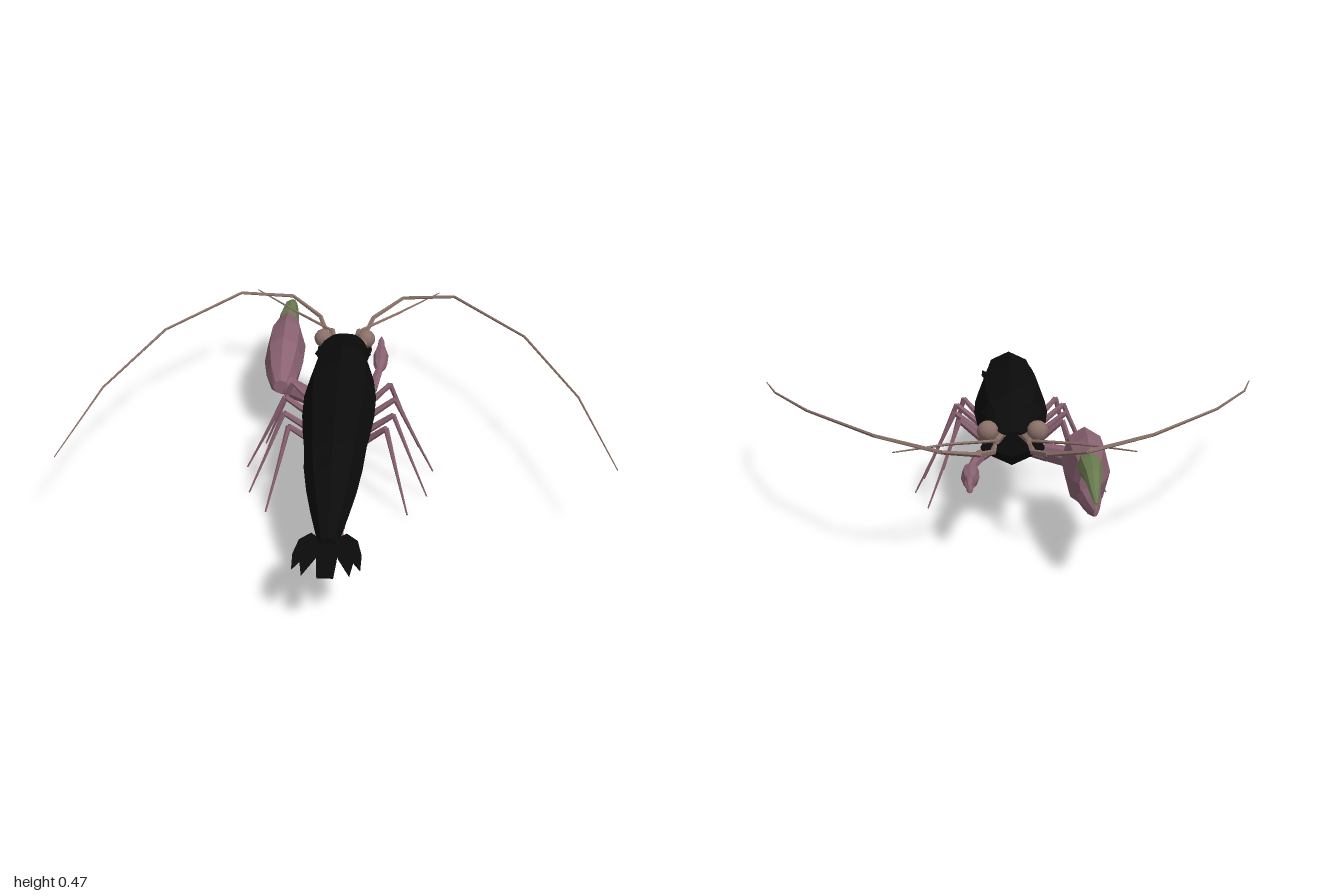
import * as THREE from 'three';

const mat = (name, color) => Object.assign(new THREE.MeshStandardMaterial({ color }), { name });

// Faceted normals for every part
function facet(geometry) {
  const g = geometry.index ? geometry.toNonIndexed() : geometry;
  g.computeVertexNormals();
  return g;
}

// Skin over elliptical rings [x, y, z, radiusX, radiusY], closed at both ends
function loft(rings, sides = 8) {
  const list = rings[0][2] > rings[rings.length - 1][2] ? [...rings].reverse() : rings;
  const pos = [], idx = [];
  for (const [x, y, z, rx, ry] of list) {
    for (let j = 0; j < sides; j++) {
      const a = (j / sides) * Math.PI * 2;
      pos.push(x + rx * Math.cos(a), y + ry * Math.sin(a), z);
    }
  }
  for (let i = 0; i < list.length - 1; i++) {
    for (let j = 0; j < sides; j++) {
      const k = (j + 1) % sides;
      const a = i * sides + j, b = i * sides + k;
      idx.push(a, b, b + sides, a, b + sides, a + sides);
    }
  }
  const last = (list.length - 1) * sides;
  for (let j = 1; j < sides - 1; j++) {
    idx.push(0, j + 1, j, last, last + j, last + j + 1);
  }
  const g = new THREE.BufferGeometry();
  g.setAttribute('position', new THREE.Float32BufferAttribute(pos, 3));
  g.setIndex(idx);
  return facet(g);
}

export function createModel() {
  const model = new THREE.Group();
  model.name = 'shrimp';
  const shell = mat('black shell', 0x0b0b0b);
  const pink = mat('dusky pink', 0x8a6272);
  const green = mat('olive green', 0x687a4e);
  const brown = mat('brown', 0x8a7068);

  const add = (name, geometry, material, parent = model) => {
    const mesh = new THREE.Mesh(geometry, material);
    mesh.name = name;
    parent.add(mesh);
    return mesh;
  };

  // Chain of tapered rods through points [x, y, z, radius]
  function limb(name, points, material, sides = 6) {
    const group = new THREE.Group();
    group.name = name;
    for (let i = 0; i < points.length - 1; i++) {
      const a = new THREE.Vector3(...points[i]), b = new THREE.Vector3(...points[i + 1]);
      const dir = b.clone().sub(a);
      const g = new THREE.CylinderGeometry(points[i + 1][3], points[i][3], dir.length(), sides);
      const rod = add(name + 'Segment', facet(g), material, group);
      rod.position.copy(a).add(b).multiplyScalar(0.5);
      rod.quaternion.setFromUnitVectors(new THREE.Vector3(0, 1, 0), dir.normalize());
    }
    model.add(group);
  }

  // Body: z, bottom, top, half width
  const body = [
    [-0.37, 0.23, 0.37, 0.08], [-0.33, 0.19, 0.415, 0.1], [-0.2, 0.157, 0.453, 0.122],
    [-0.05, 0.157, 0.465, 0.134], [0.1, 0.168, 0.46, 0.131], [0.22, 0.185, 0.45, 0.121],
    [0.32, 0.195, 0.44, 0.11], [0.47, 0.2, 0.428, 0.1], [0.58, 0.2, 0.395, 0.085],
    [0.68, 0.2, 0.355, 0.065], [0.76, 0.2, 0.318, 0.046], [0.8, 0.207, 0.298, 0.036], [0.82, 0.222, 0.275, 0.028],
  ];
  add('body', loft(body.map(([z, lo, hi, w]) => [0, (lo + hi) / 2, z, w, (hi - lo) / 2])), shell);
  add('headHood', loft([
    [0, 0.37, -0.29, 0.108, 0.06], [0, 0.37, -0.4, 0.078, 0.026],
    [0, 0.358, -0.46, 0.062, 0.016], [0, 0.35, -0.5, 0.04, 0.006],
  ]), shell);

  // Tail fan: flat blades, outlines as [x, z]
  function blade(name, outline, y) {
    const shape = new THREE.Shape(outline.map(([x, z]) => new THREE.Vector2(x, z)));
    const g = new THREE.ExtrudeGeometry(shape, { depth: 0.006, bevelEnabled: false });
    g.rotateX(Math.PI / 2);
    g.translate(0, y, 0);
    add(name, facet(g), shell);
  }
  blade('tailCentre', [[-0.03, 0.78], [0.03, 0.78], [0.034, 0.88], [0.026, 1], [-0.026, 1], [-0.034, 0.88]], 0.25);

  for (const s of [-1, 1]) {
    const side = s > 0 ? 'left' : 'right';
    const m = (pts) => pts.map(([x, ...rest]) => [s * x, ...rest]);

    blade(side + 'InnerTailBlade', m([[0.015, 0.78], [0.05, 0.79], [0.085, 0.91], [0.075, 0.985], [0.035, 0.89]]), 0.247);
    blade(side + 'OuterTailBlade', m([[0.02, 0.79], [0.058, 0.75], [0.095, 0.79], [0.11, 0.87], [0.108, 0.95], [0.075, 0.89]]), 0.244);

    // Eye on its stalk
    const eye = add(side + 'Eye', new THREE.SphereGeometry(0.037, 12, 8), brown);
    eye.position.set(s * 0.084, 0.35, -0.468);
    limb(side + 'EyeStalk', m([[0.04, 0.335, -0.37, 0.02], [0.08, 0.348, -0.46, 0.022]]), brown);

    // Feelers
    limb(side + 'LongAntenna', m([
      [0.06, 0.285, -0.36, 0.011], [0.065, 0.3, -0.55, 0.01], [0.11, 0.335, -0.7, 0.009],
      [0.23, 0.375, -0.81, 0.007], [0.44, 0.412, -0.75, 0.006], [0.7, 0.408, -0.4, 0.005],
      [0.87, 0.37, 0.02, 0.004], [0.965, 0.313, 0.43, 0.002],
    ]), brown, 5);
    limb(side + 'ShortAntenna', m([
      [0.03, 0.32, -0.36, 0.016], [0.055, 0.34, -0.56, 0.012], [0.06, 0.342, -0.56, 0.006],
      [0.21, 0.365, -0.68, 0.005], [0.38, 0.385, -0.845, 0.002],
    ]), brown, 5);
    blade(side + 'AntennaScale', m([[0.05, -0.36], [0.09, -0.37], [0.108, -0.48], [0.098, -0.54], [0.065, -0.47]]), 0.3);

    // Walking legs: hip z, knee x, knee z, foot x, foot z
    for (const [hz, kx, kz, fx, fz] of [
      [-0.14, 0.185, -0.165, 0.3, -0.23], [-0.05, 0.205, -0.05, 0.355, -0.047],
      [0.05, 0.2, 0.072, 0.33, 0.133], [0.12, 0.175, 0.17, 0.258, 0.263],
    ]) {
      limb(side + 'Leg', m([
        [0.08, 0.21, hz, 0.014], [kx, 0.308, kz, 0.01], [(kx + fx) / 2, 0.15, (kz + fz) / 2, 0.006], [fx, 0, fz, 0.003],
      ]), pink);
    }

    // Swimming legs under the tail
    for (let i = 0; i < 5; i++) {
      const z = 0.265 + i * 0.107, x = 0.052 - i * 0.005;
      limb(side + 'Swimmeret', m([[x, 0.225, z - 0.003, 0.017], [x, 0.155, z + 0.003, 0.01]]), pink);
    }
  }

  // Large right claw
  limb('largeArm', [[-0.06, 0.215, -0.2, 0.028], [-0.13, 0.21, -0.24, 0.034], [-0.2, 0.21, -0.3, 0.038], [-0.235, 0.225, -0.34, 0.04]], pink, 8);
  add('largePalm', loft([
    [-0.242, 0.225, -0.28, 0.03, 0.03], [-0.243, 0.235, -0.35, 0.06, 0.08], [-0.243, 0.247, -0.45, 0.077, 0.113],
    [-0.243, 0.247, -0.6, 0.077, 0.123], [-0.243, 0.25, -0.71, 0.054, 0.098], [-0.243, 0.25, -0.75, 0.035, 0.07],
  ]), pink);
  add('largeMovingFinger', loft([
    [-0.243, 0.297, -0.7, 0.042, 0.045], [-0.243, 0.306, -0.76, 0.04, 0.04], [-0.243, 0.305, -0.86, 0.028, 0.028],
    [-0.243, 0.285, -0.94, 0.017, 0.016], [-0.243, 0.265, -1, 0.005, 0.005],
  ]), green);
  add('largeFixedFinger', loft([
    [-0.243, 0.2, -0.68, 0.044, 0.05], [-0.243, 0.203, -0.78, 0.034, 0.036],
    [-0.243, 0.212, -0.88, 0.022, 0.027], [-0.243, 0.23, -0.985, 0.006, 0.01],
  ]), pink);

  // Small left claw
  limb('smallArm', [[0.07, 0.21, -0.2, 0.018], [0.115, 0.215, -0.31, 0.022], [0.142, 0.22, -0.47, 0.014]], pink);
  add('smallPalm', loft([
    [0.14, 0.22, -0.45, 0.013, 0.013], [0.142, 0.22, -0.5, 0.028, 0.03],
    [0.143, 0.22, -0.58, 0.031, 0.034], [0.143, 0.222, -0.645, 0.018, 0.024],
  ]), pink);
  add('smallMovingFinger', loft([[0.143, 0.234, -0.62, 0.016, 0.014], [0.143, 0.24, -0.68, 0.011, 0.009], [0.143, 0.228, -0.735, 0.003, 0.003]]), pink);
  add('smallFixedFinger', loft([[0.143, 0.208, -0.62, 0.015, 0.013], [0.143, 0.207, -0.68, 0.01, 0.008], [0.143, 0.217, -0.73, 0.003, 0.003]]), pink);

  return model;
}
